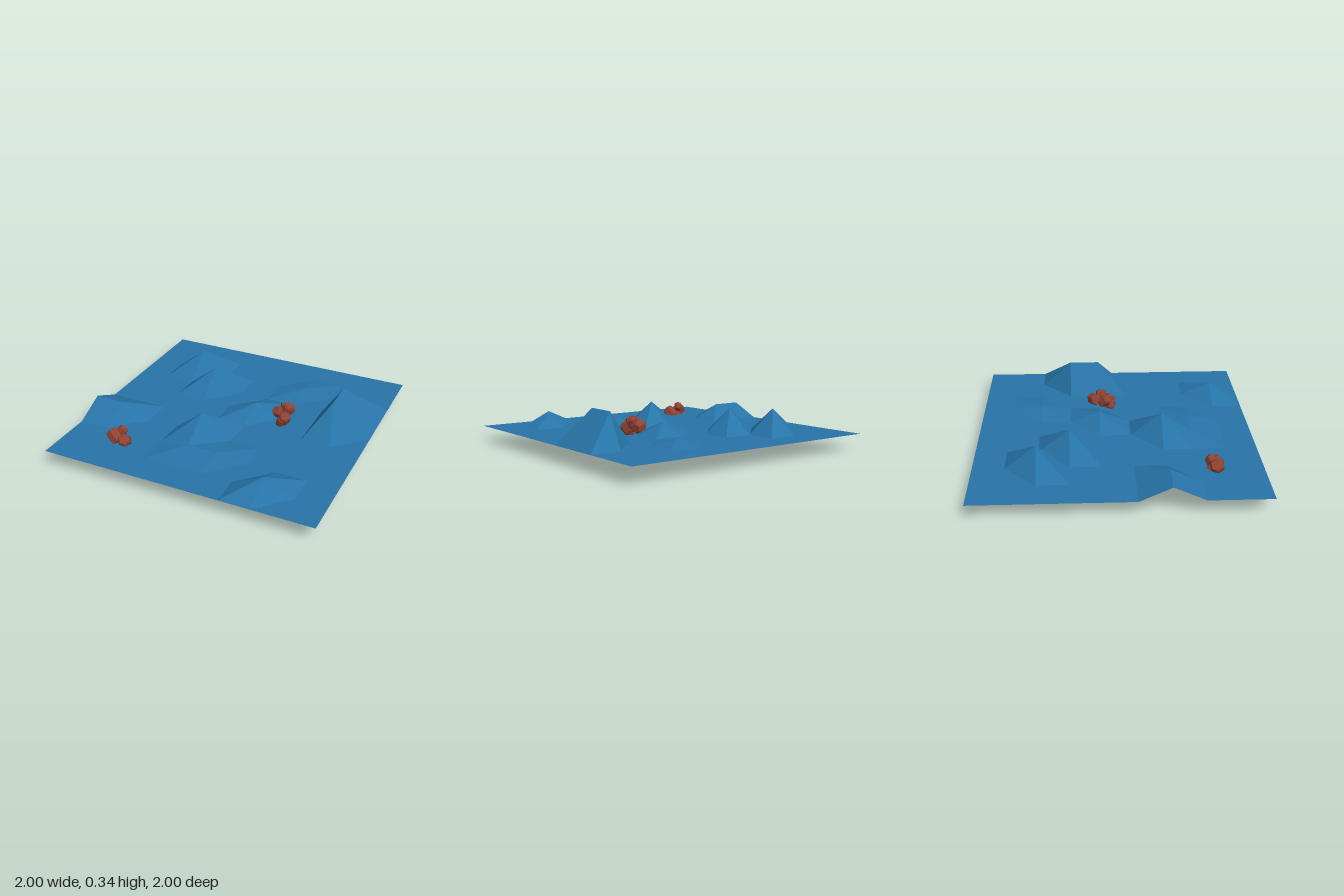
import * as THREE from 'three';

const BASE = 0.117; // height of the flat ground
const CELLS = 9;

// Raised grid points: [column, row, height, optional x shift]
const PEAKS = [
  [2, 2, 0.29], [3, 3, 0.29], [4, 6, 0.29],
  [0, 6, 0.22], [1, 6, 0.22], [7, 8, 0.22],
  [8, 3, 0.345, -0.068], [8, 4, 0.345, -0.068],
  [5, 4, 0.2], [6, 2, 0.15], [4, 7, 0.15], [5, 7, 0.15],
];

// Boulder chunks: [x, y, z, radius, length, rotX, rotY, rotZ]
const CLUSTERS = {
  frontBoulders: [
    [-0.58, 0.052, 0.70, 0.052, 0.115, 0.15, 0.3, 1.5],
    [-0.635, 0.15, 0.67, 0.05, 0.10, 0.2, -0.4, 1.0],
    [-0.555, 0.13, 0.67, 0.048, 0.10, 0.9, 0.5, -0.3],
    [-0.60, 0.185, 0.625, 0.032, 0.06, 0.4, 0.2, 0.5],
    [-0.60, 0.10, 0.64, 0.04, 0.08, 0.7, 0.8, 0.2],
  ],
  middleBoulders: [
    [0.35, 0.19, -0.15, 0.045, 0.10, 0.5, 0.3, 1.2],
    [0.315, 0.19, -0.07, 0.042, 0.09, 0.9, -0.3, 0.4],
    [0.37, 0.17, -0.035, 0.045, 0.09, 0.8, 0.5, -0.4],
    [0.37, 0.215, -0.095, 0.042, 0.08, 0.3, 0.6, -0.5],
    [0.35, 0.145, -0.02, 0.035, 0.075, 0.3, 0.2, -0.4],
  ],
};

// Faceted ground sheet with single grid points pulled up into hills
function createTerrain() {
  const geometry = new THREE.PlaneGeometry(2, 2, CELLS, CELLS);
  geometry.rotateX(-Math.PI / 2).translate(0, BASE, 0);
  const position = geometry.attributes.position;
  for (const [column, row, height, shift = 0] of PEAKS) {
    const i = row * (CELLS + 1) + column;
    position.setXYZ(i, position.getX(i) + shift, height, position.getZ(i));
  }
  geometry.computeVertexNormals();
  const material = new THREE.MeshStandardMaterial({
    color: 0x2774a8, flatShading: true, side: THREE.DoubleSide,
  });
  const terrain = new THREE.Mesh(geometry, material);
  terrain.name = 'terrain';
  return terrain;
}

// Six-sided stone with bevelled ends
function createStone([x, y, z, radius, length, rx, ry, rz], material) {
  const h = length / 2;
  const profile = [
    [0, -h], [radius * 0.75, -h], [radius, -h * 0.65],
    [radius, h * 0.65], [radius * 0.75, h], [0, h],
  ].map(([r, t]) => new THREE.Vector2(r, t));
  const stone = new THREE.Mesh(new THREE.LatheGeometry(profile, 6), material);
  stone.position.set(x, y, z);
  stone.rotation.set(rx, ry, rz);
  stone.name = 'boulder';
  return stone;
}

export function createModel() {
  const model = new THREE.Group();
  model.name = 'rockyGround';
  model.add(createTerrain());

  const stoneMaterial = new THREE.MeshStandardMaterial({ color: 0x8f4234, flatShading: true });
  for (const [name, stones] of Object.entries(CLUSTERS)) {
    const cluster = new THREE.Group();
    cluster.name = name;
    for (const stone of stones) cluster.add(createStone(stone, stoneMaterial));
    model.add(cluster);
  }
  return model;
}
